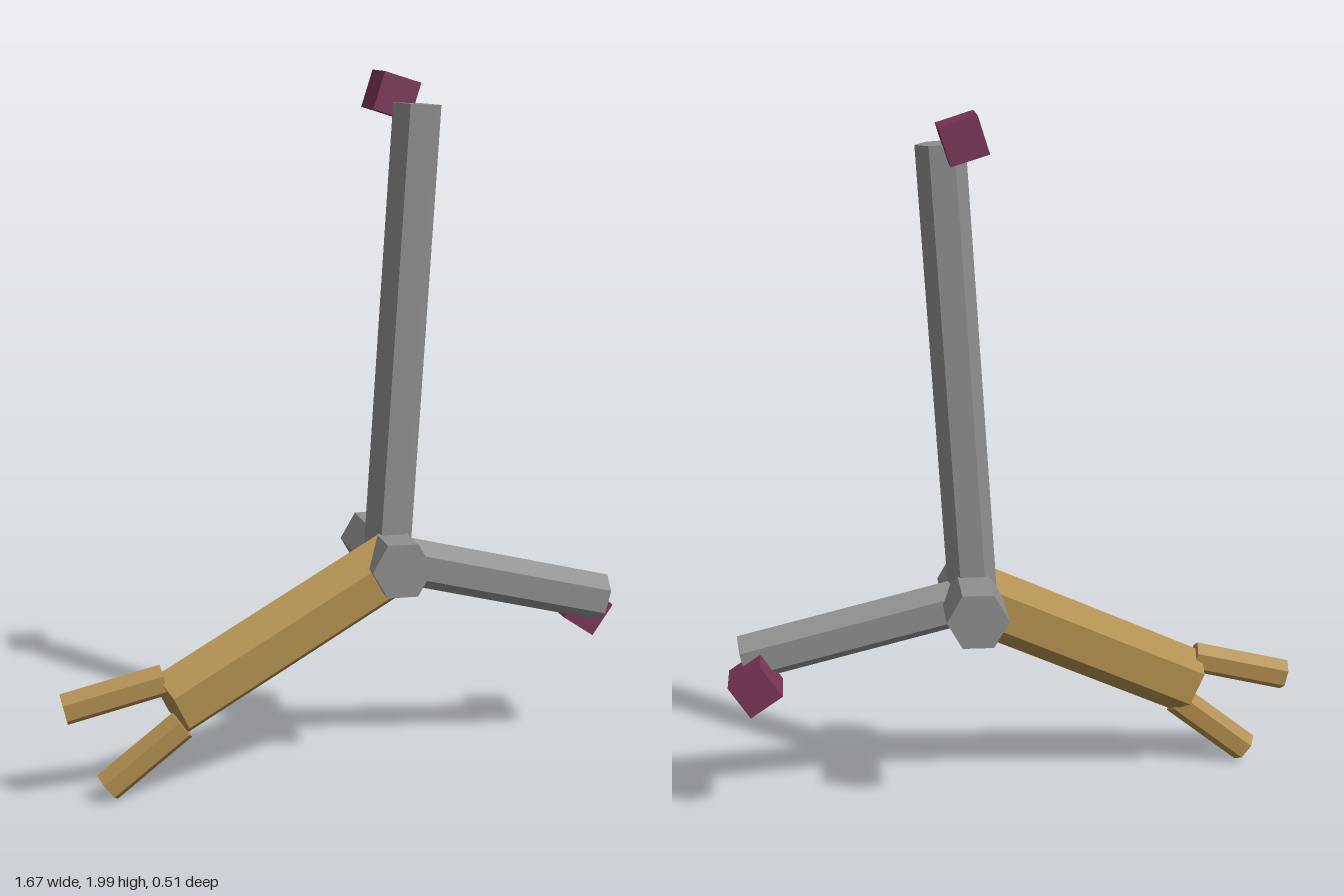
import * as THREE from 'three';

const makeMaterial = (name, color) => {
  const m = new THREE.MeshStandardMaterial({ color });
  m.name = name;
  return m;
};

export function createModel() {
  const group = new THREE.Group();
  const grey = makeMaterial('steel grey', 0x8f8f8f);
  const tan = makeMaterial('tan', 0xb08e4e);
  const maroon = makeMaterial('maroon', 0x7a3557);
  const X = [1, 0, 0], Y = [0, 1, 0];

  // Hexagonal bar from a to b, with one ridge turned towards the ridge direction
  function hexBar(name, a, b, radius, ridge, material) {
    const start = new THREE.Vector3(...a), end = new THREE.Vector3(...b);
    const axis = end.clone().sub(start);
    const length = axis.length();
    axis.normalize();
    const up = new THREE.Vector3(...ridge);
    up.addScaledVector(axis, -up.dot(axis)).normalize();
    const side = axis.clone().cross(up);
    const geo = new THREE.CylinderGeometry(radius, radius, length, 6).toNonIndexed();
    geo.applyMatrix4(new THREE.Matrix4().makeBasis(side, axis, up));
    geo.computeVertexNormals();
    const mesh = new THREE.Mesh(geo, material);
    mesh.name = name;
    mesh.position.copy(start.add(end).multiplyScalar(0.5));
    group.add(mesh);
  }

  // Square block mounted behind the tip of an arm
  function block(name, x, y, degrees) {
    const mesh = new THREE.Mesh(new THREE.BoxGeometry(0.11, 0.11, 0.15), maroon);
    mesh.name = name;
    mesh.position.set(x, y, -0.105);
    mesh.rotation.z = THREE.MathUtils.degToRad(degrees);
    group.add(mesh);
  }

  // Pivot and the two arms
  hexBar('pivotHub', [0.135, 0.612, -0.25], [0.135, 0.612, 0.167], 0.088, X, grey);
  hexBar('upperArm', [0.132, 0.61, -0.016], [0.215, 1.91, -0.016], 0.07, X, grey);
  hexBar('sideArm', [0.135, 0.606, -0.018], [0.793, 0.447, -0.018], 0.07, Y, grey);

  // Blocks on the arm tips
  block('upperBlock', 0.161, 1.931, -17.5);
  block('sideBlock', 0.757, 0.402, -34);

  // Thick handle with a forked end
  hexBar('handle', [0.14, 0.603, 0.028], [-0.53, 0.267, 0.166], 0.1, Y, tan);
  hexBar('upperProng', [-0.55, 0.341, 0.166], [-0.828, 0.275, 0.166], 0.046, Y, tan);
  hexBar('lowerProng', [-0.5, 0.208, 0.17], [-0.712, 0.042, 0.17], 0.046, Y, tan);

  return group;
}
